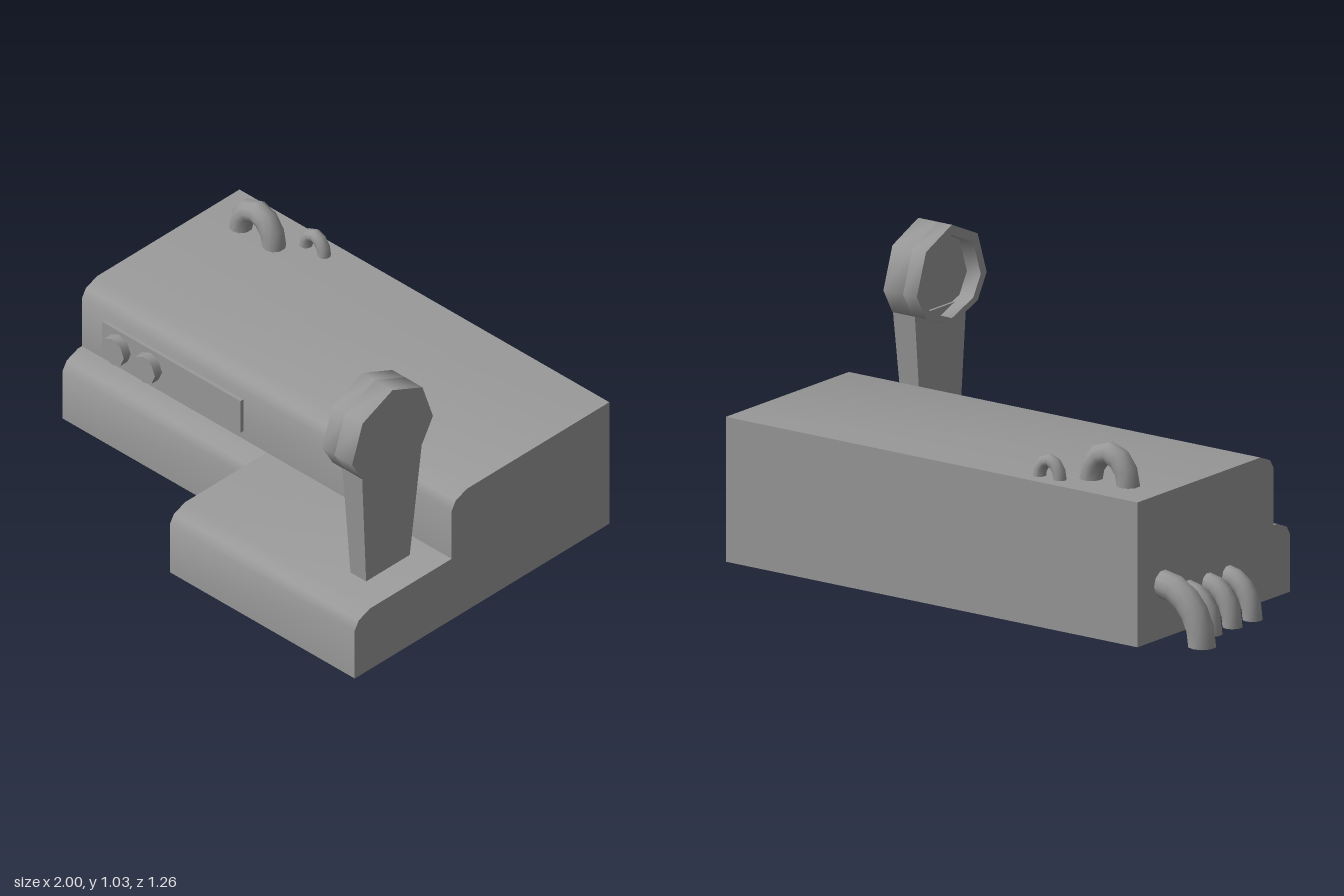
import * as THREE from 'three';
import { toCreasedNormals } from 'three/addons/utils/BufferGeometryUtils.js';

const grey = new THREE.MeshStandardMaterial({ color: 0x999999 });
grey.name = 'grey';

function add(parent, name, geometry) {
  const mesh = new THREE.Mesh(geometry, grey);
  mesh.name = name;
  parent.add(mesh);
  return mesh;
}

// Extrudes a (z, y) outline along x from x0 to x1, with an optional hole.
function slab(points, x0, x1, hole) {
  const flip = (list) => list.map(([z, y]) => new THREE.Vector2(-z, y));
  const shape = new THREE.Shape(flip(points));
  if (hole) shape.holes.push(new THREE.Path(flip(hole)));
  const g = new THREE.ExtrudeGeometry(shape, { depth: x1 - x0, bevelEnabled: false });
  g.rotateY(Math.PI / 2).translate(x0, 0, 0);
  return toCreasedNormals(g, 0.9);
}

// Block outline with a rounded upper front edge.
const blockProfile = (front, bottom, top, back) => [
  [back, bottom], [front, bottom], [front, top - 0.055],
  [front - 0.02, top - 0.022], [front - 0.075, top], [back, top],
];

// Elliptical bend in the xy plane, made of a few straight sections.
function bend(cx, cy, rx, ry, a0, a1, z, radius, segments) {
  const path = new THREE.CurvePath();
  path.getPoint = (t) => {
    const a = a0 + (a1 - a0) * t;
    return new THREE.Vector3(cx + rx * Math.cos(a), cy + ry * Math.sin(a), z);
  };
  path.getPointAt = path.getPoint;
  path.getTangentAt = (t) => {
    const a = a0 + (a1 - a0) * t, s = Math.sign(a1 - a0);
    return new THREE.Vector3(-rx * Math.sin(a) * s, ry * Math.cos(a) * s, 0).normalize();
  };
  return new THREE.TubeGeometry(path, segments, radius, 10, false);
}

export function createModel() {
  const model = new THREE.Group();
  model.name = 'controlConsole';

  // Stepped body
  add(model, 'upperBody', slab(blockProfile(0.15, 0.26, 0.52, -0.63), -0.78, 1));
  add(model, 'wideBase', slab(blockProfile(0.63, 0, 0.26, -0.63), 0.11, 1));
  add(model, 'narrowBase', slab(blockProfile(0.245, 0, 0.26, -0.63), -0.78, 0.11));

  // Front panel and knobs
  add(model, 'panel', new THREE.BoxGeometry(0.665, 0.135, 0.03)).position.set(-0.335, 0.362, 0.15);
  for (const x of [-0.585, -0.435]) {
    const knob = new THREE.CylinderGeometry(0.055, 0.055, 0.05, 8).rotateX(Math.PI / 2);
    add(model, 'knob', toCreasedNormals(knob, 0.9)).position.set(x, 0.36, 0.175);
  }

  // Lever: tapered stem and a hollow head open towards -x
  const lever = new THREE.Group();
  lever.name = 'lever';
  model.add(lever);
  const stem = new THREE.BoxGeometry(1, 1, 1);
  const p = stem.attributes.position;
  for (let i = 0; i < p.count; i++) {
    const up = p.getY(i) > 0;
    const right = p.getX(i) > 0;
    p.setXYZ(i, right ? (up ? 0.9 : 0.88) : 0.805, up ? 0.725 : 0.255,
      0.3425 + Math.sign(p.getZ(i)) * (up ? 0.1475 : 0.1075));
  }
  stem.computeVertexNormals();
  add(lever, 'leverStem', stem);
  const head = [[0, 0.215], [0.148, 0.15], [0.2, 0], [0.148, -0.09], [0, -0.145],
    [-0.148, -0.09], [-0.2, 0], [-0.148, 0.15]];
  const ring = (s) => head.map(([z, y]) => [0.34 + z * s, 0.815 + y * s]);
  add(lever, 'leverHead', slab(ring(1), 0.815, 0.9));
  add(lever, 'leverRim', slab(ring(1), 0.755, 0.815, ring(0.83)));

  // Handles on top
  add(model, 'largeHandle', bend(-0.547, 0.515, 0.081, 0.108, Math.PI, 0, -0.48, 0.042, 6));
  add(model, 'smallHandle', bend(-0.348, 0.515, 0.045, 0.066, Math.PI, 0, -0.56, 0.024, 6));

  // Side pipes curving down to the ground
  const pipes = [[-0.485, 0.05, 0.17, 0.195], [-0.34, 0.036, 0.105, 0.14],
    [-0.225, 0.036, 0.105, 0.14], [-0.11, 0.036, 0.105, 0.14]];
  for (const [z, r, rx, ry] of pipes) {
    add(model, 'pipe', bend(-0.78, 0, rx, ry, Math.PI, Math.PI / 2, z, r, 5));
    const cap = new THREE.CircleGeometry(r, 10).rotateX(Math.PI / 2);
    add(model, 'pipeEnd', cap).position.set(-0.78 - rx, 0.001, z);
  }
  return model;
}
